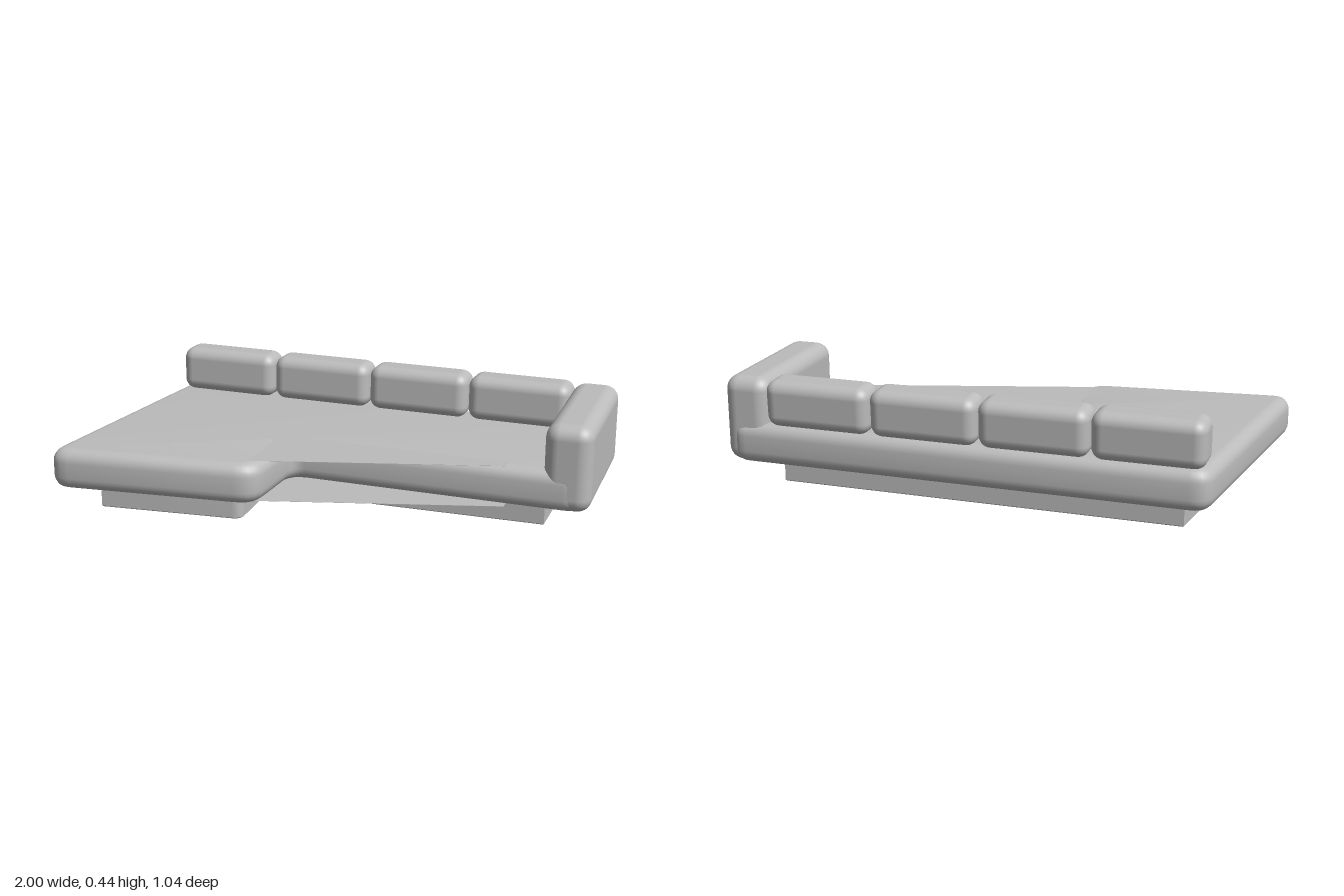
import * as THREE from 'three';
import { toCreasedNormals } from 'three/addons/utils/BufferGeometryUtils.js';
import { RoundedBoxGeometry } from 'three/addons/geometries/RoundedBoxGeometry.js';

// Closed plan shape from [x, z, cornerRadius] points
function plan(points) {
  const shape = new THREE.Shape();
  const n = points.length;
  points.forEach(([x, z, r = 0], i) => {
    const p = new THREE.Vector2(x, -z);
    const toward = ([qx, qz]) => new THREE.Vector2(qx, -qz).sub(p).setLength(r).add(p);
    const a = toward(points[(i + n - 1) % n]);
    const b = toward(points[(i + 1) % n]);
    if (i === 0) shape.moveTo(a.x, a.y);
    else shape.lineTo(a.x, a.y);
    if (r > 0) shape.quadraticCurveTo(p.x, p.y, b.x, b.y);
  });
  shape.closePath();
  return shape;
}

// Horizontal slab between two heights, with rounded rims if bevel > 0
function slab(points, y0, y1, bevel, segments) {
  const geometry = new THREE.ExtrudeGeometry(plan(points), {
    depth: y1 - y0 - 2 * bevel,
    bevelEnabled: bevel > 0,
    bevelThickness: bevel,
    bevelSize: bevel,
    bevelOffset: -bevel,
    bevelSegments: segments,
    curveSegments: 5,
  });
  geometry.rotateX(-Math.PI / 2).translate(0, y0 + bevel, 0);
  return toCreasedNormals(geometry, 0.5);
}

export function createModel() {
  const model = new THREE.Group();
  model.name = 'sectionalSofa';
  const fabric = new THREE.MeshStandardMaterial({ color: 0xbcbcbc });
  fabric.name = 'grey fabric';

  const add = (name, geometry) => {
    const mesh = new THREE.Mesh(geometry, fabric);
    mesh.name = name;
    model.add(mesh);
    return mesh;
  };

  // Recessed plinth
  add('base', slab([
    [-0.76, -0.38], [0.81, -0.38], [0.81, -0.02],
    [-0.3, 0.01], [-0.29, 0.32, 0.04], [-0.855, 0.38],
  ], 0, 0.12, 0.004, 1));

  // L-shaped seat with a slanted lounge end
  add('seat', slab([
    [-0.87, -0.52, 0.07], [0.96, -0.52, 0.06], [0.96, 0.11, 0.06],
    [-0.16, 0.11, 0.05], [-0.178, 0.435, 0.09], [-1.008, 0.527, 0.09],
  ], 0.105, 0.265, 0.05, 6));

  // Thin webs spanning the seat's inner corner, above and below
  const web = [[-0.23, 0.375], [-0.19, 0.36], [0.68, 0.105], [0.68, 0.06], [-0.23, 0.06]];
  add('seatTopWeb', slab(web, 0.2645, 0.2655, 0, 1));
  add('seatBottomWeb', slab(web, 0.1045, 0.1055, 0, 1));

  // Armrest on the left end
  const arm = add('armrest', new RoundedBoxGeometry(0.18, 0.335, 0.617, 4, 0.055));
  arm.position.set(0.905, 0.2725, -0.2);
  arm.rotation.y = 0.015;

  // Row of back cushions, leaning slightly back
  for (let i = 0; i < 4; i++) {
    const cushion = add('backCushion' + (i + 1), new RoundedBoxGeometry(0.414, 0.18, 0.15, 4, 0.045));
    cushion.position.set(-0.648 + i * 0.4185, 0.35, -0.446);
    cushion.rotation.x = -0.04;
  }
  return model;
}
